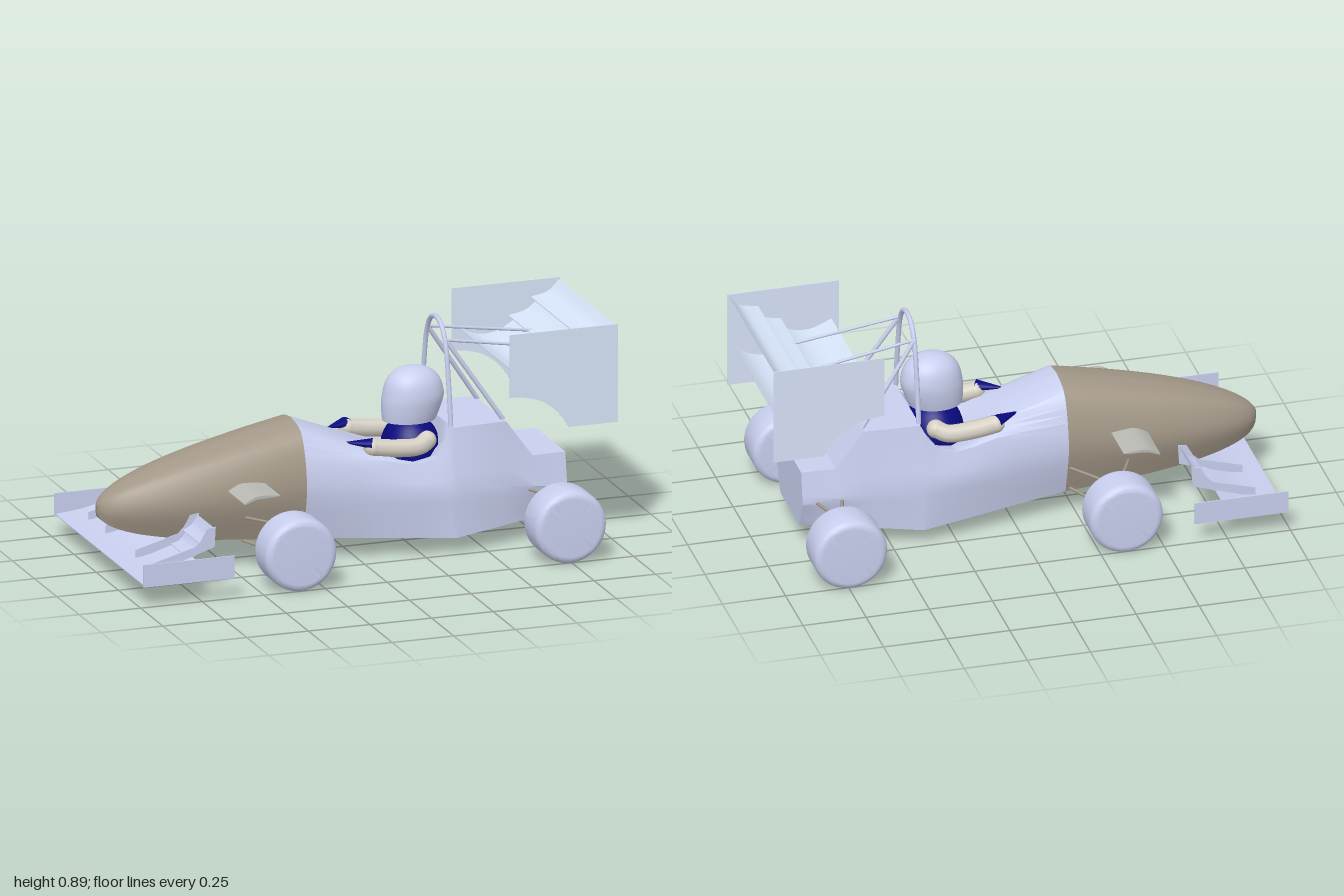
import * as THREE from 'three';
import { toCreasedNormals } from 'three/addons/utils/BufferGeometryUtils.js';

const mat = (color) => new THREE.MeshStandardMaterial({ color, side: THREE.DoubleSide });
const V3 = (x, y, z) => new THREE.Vector3(x, y, z);
const V2 = (p) => new THREE.Vector2(p[0], p[1]);
const { lerp, smoothstep } = THREE.MathUtils;

export function createModel() {
  const car = new THREE.Group();
  car.name = 'raceCar';
  const paint = mat(0xc8cfee), tan = mat(0xa39888), wing = mat(0xd6e3f8);
  const blue = mat(0x0a0a80), sleeve = mat(0xd6d0c4), grey = mat(0xb9b9b4);

  const add = (name, geometry, material) => {
    const mesh = new THREE.Mesh(geometry, material);
    mesh.name = name;
    car.add(mesh);
    return mesh;
  };

  // Half section [z, y] points -> closed ring; round blends straight to curved
  const ring = ({ x, round, pts }) => {
    const p = pts.map(V2), spline = new THREE.SplineCurve(p);
    const half = [new THREE.Vector2(0, p[0].y)];
    const per = 4, n = (p.length - 1) * per;
    for (let i = 0; i <= n; i++) {
      const s = Math.min(Math.floor(i / per), p.length - 2);
      const straight = p[s].clone().lerp(p[s + 1], i / per - s);
      half.push(straight.lerp(spline.getPoint(i / n), round));
    }
    const right = half.slice(1, -1).reverse().map((v) => new THREE.Vector2(-v.x, v.y));
    return [...half, ...right].map((v) => V3(x, v.y, v.x));
  };

  // Skin over sections running along x, with a flat cap on the last
  const loft = (sections, crease) => {
    const rings = sections.map(ring), n = rings[0].length, pos = [];
    const tri = (...v) => v.forEach((p) => pos.push(p.x, p.y, p.z));
    for (let i = 0; i < rings.length - 1; i++) {
      for (let j = 0; j < n; j++) {
        const k = (j + 1) % n, A = rings[i], B = rings[i + 1];
        tri(A[j], B[j], A[k]);
        tri(B[j], B[k], A[k]);
      }
    }
    const last = rings[rings.length - 1];
    const mid = V3(last[0].x, 0.22, 0);
    last.forEach((p, j) => tri(mid, last[(j + 1) % n], p));
    const g = new THREE.BufferGeometry();
    g.setAttribute('position', new THREE.Float32BufferAttribute(pos, 3));
    return toCreasedNormals(g, crease);
  };

  // Nose cone
  const nose = [];
  for (let i = 0; i <= 20; i++) {
    const t = Math.max((i / 20) ** 2, 0.0002);
    const w = 0.18 * Math.sqrt(1 - (1 - t) ** 2.5);
    const top = 0.265 + 0.275 * t ** 0.58, yb = 0.265 - 0.17 * t ** 0.3, h = top - yb;
    nose.push({ x: -1 + 0.79 * t, round: 1, pts: [[0.74 * w, yb], [w, yb + 0.4 * h],
      [0.93 * w, yb + 0.7 * h], [0.62 * w, yb + 0.94 * h], [0, top]] });
  }
  add('noseCone', loft(nose, 0.6), tan);

  // Lower body edges: flare from the nose to the widest point, then taper to the tail
  const lower = (x) => {
    const f = (x + 0.21) / 0.59, r = (x - 0.38) / 0.46;
    if (x < 0.38) {
      return [[lerp(0.133, 0.245, f), lerp(0.095, 0.067, f)],
        [lerp(0.18, 0.245, smoothstep(f, 0, 1)), lerp(0.273, 0.26, f)]];
    }
    return [[lerp(0.245, 0.135, r), lerp(0.067, 0.1, r)],
      [lerp(0.245, 0.185, Math.sqrt(r)), lerp(0.26, 0.21, r)]];
  };
  // Upper body: x, roundness, shoulder z y, inner rim z y, centre y
  const upper = [
    [-0.21, 1, 0.167, 0.406, 0.112, 0.513, 0.54],
    [0, 0.8, 0.176, 0.395, 0.112, 0.442, 0.45],
    [0.07, 0.6, 0.182, 0.39, 0.125, 0.416, 0.42],
    [0.12, 0.4, 0.19, 0.383, 0.15, 0.4, 0.385],
    [0.17, 0.3, 0.197, 0.372, 0.165, 0.378, 0.34],
    [0.24, 0.2, 0.203, 0.365, 0.17, 0.362, 0.32],
    [0.31, 0.1, 0.203, 0.385, 0.17, 0.38, 0.32],
    [0.355, 0, 0.198, 0.44, 0.16, 0.44, 0.34],
    [0.38, 0, 0.19, 0.49, 0.1, 0.49, 0.49],
    [0.6, 0, 0.178, 0.49, 0.09, 0.49, 0.49],
    [0.71, 0, 0.168, 0.34, 0.085, 0.34, 0.34],
    [0.845, 0, 0.163, 0.34, 0.08, 0.34, 0.34],
  ];
  add('body', loft(upper.map(([x, round, wt, yt, wi, yi, yc]) => (
    { x, round, pts: [...lower(x), [wt, yt], [wi, yi], [0, yc]] })), 0.4), paint);

  // Flat plate in the xy plane, extruded from z0 to z1
  const plate = (name, shape, z0, z1, material) => {
    const g = new THREE.ExtrudeGeometry(shape, { depth: z1 - z0, bevelEnabled: false, curveSegments: 12 });
    return add(name, toCreasedNormals(g.translate(0, 0, z0), 0.5), material);
  };
  const outline = (...pts) => new THREE.Shape(pts.map(V2));
  // Thin cambered wing element following a curve in the xy plane
  const foil = (name, path, z0, z1, material, thick = 0.012) => {
    const c = new THREE.SplineCurve(path.map(V2)).getPoints(12);
    const under = c.map((p, i) => new THREE.Vector2(p.x, p.y - thick * Math.sin(Math.PI * (0.1 + 0.85 * i / 12))));
    plate(name, new THREE.Shape([...under, ...c.reverse()]), z0, z1, material);
  };
  const rod = (name, points, r, material) => add(name, new THREE.TubeGeometry(
    new THREE.CatmullRomCurve3(points), points.length > 2 ? 40 : 1, r, 8), material);

  // Wheel with rounded shoulders, axle along z
  const tyre = (half) => {
    const pts = [[0, -half], [0.114, -half]];
    for (let i = 0; i <= 6; i++) {
      const a = i / 6 * Math.PI / 2;
      pts.push([0.115 + 0.03 * Math.sin(a), -half + 0.03 * (1 - Math.cos(a))]);
    }
    const back = pts.map(([r, y]) => [r, -y]).reverse();
    const g = new THREE.LatheGeometry([...pts, ...back].map(V2), 48).rotateX(Math.PI / 2);
    return toCreasedNormals(g.toNonIndexed(), 0.5);
  };

  // Full-width front wing and rear wing elements
  foil('frontWing', [[-0.985, 0.09], [-0.86, 0.105], [-0.74, 0.14]], -0.5, 0.5, paint);
  foil('rearWingMain', [[0.59, 0.72], [0.67, 0.688], [0.75, 0.695], [0.83, 0.742]], -0.327, 0.327, wing);
  foil('rearWingMiddleFlap', [[0.79, 0.75], [0.86, 0.765], [0.91, 0.803]], -0.327, 0.327, wing);
  foil('rearWingTopFlap', [[0.88, 0.815], [0.95, 0.83], [0.995, 0.873]], -0.327, 0.327, wing);
  foil('rearWingLower', [[0.76, 0.615], [0.85, 0.602], [0.92, 0.618], [0.975, 0.655]], -0.327, 0.327, wing);

  const rearPlate = outline([0.56, 0.63], [0.56, 0.88], [1, 0.88], [1, 0.49], [0.8, 0.49]);
  rearPlate.bezierCurveTo(0.75, 0.58, 0.68, 0.63, 0.56, 0.63);
  const frontPlate = outline([-0.99, 0.083], [-0.62, 0.083], [-0.62, 0.173], [-0.99, 0.173]);
  const innerPlate = outline([-0.9, 0.09], [-0.65, 0.17], [-0.645, 0.25], [-0.68, 0.245],
    [-0.705, 0.2], [-0.73, 0.177], [-0.9, 0.13]);

  for (const s of [1, -1]) {
    const side = s > 0 ? 'left' : 'right';
    const span = (a, b) => (s > 0 ? [a, b] : [-b, -a]);

    // Wheels and wishbones, front then rear
    for (const [end, x, z, half, legs] of [['Front', -0.35, 0.443, 0.079, [-0.1, 0.13]],
      ['Rear', 0.743, 0.443, 0.082, [-0.06, 0.05]]]) {
      add(side + end + 'Wheel', tyre(half), paint).position.set(x, 0.147, s * z);
      for (const dx of legs) {
        rod(side + end + 'UpperWishbone', [V3(x, 0.225, s * 0.38), V3(x + dx, 0.21, s * 0.165)], 0.006, tan);
        rod(side + end + 'LowerWishbone', [V3(x, 0.105, s * 0.38), V3(x + dx, 0.108, s * 0.12)], 0.006, tan);
      }
    }

    // Front wing flaps and plates
    plate(side + 'FrontEndPlate', frontPlate, ...span(0.499, 0.504), paint);
    for (const z of [0.17, 0.36]) plate(side + 'FrontInnerPlate', innerPlate, ...span(z - 0.002, z + 0.002), paint);
    foil(side + 'FrontLowerFlap', [[-0.76, 0.14], [-0.72, 0.155], [-0.69, 0.195]], ...span(0.17, 0.36), paint, 0.008);
    foil(side + 'FrontUpperFlap', [[-0.71, 0.19], [-0.675, 0.21], [-0.65, 0.245]], ...span(0.17, 0.36), paint, 0.008);

    // Winglets beside the nose
    foil(side + 'Winglet', [[-0.525, 0.325], [-0.47, 0.35], [-0.38, 0.345]], ...span(0.12, 0.352), grey);

    // Rear wing end plates, stays and hoop braces
    plate(side + 'RearEndPlate', rearPlate, ...span(0.326, 0.329), wing);
    rod(side + 'WingStay', [V3(0.38, 0.815, s * 0.1), V3(0.83, 0.745, s * 0.115)], 0.006, paint);
    rod(side + 'HoopBrace', [V3(0.385, 0.81, s * 0.105), V3(0.6, 0.488, s * 0.145)], 0.009, paint);

    // Driver's arms: sleeve with rounded ends, flat pointed glove
    const arm = [V3(0.07, 0.43, s * 0.142), V3(0.16, 0.418, s * 0.145),
      V3(0.26, 0.415, s * 0.14), V3(0.3, 0.43, s * 0.12)];
    rod(side + 'Arm', arm, 0.036, sleeve);
    for (const p of [arm[0], arm[3]]) {
      add(side + 'SleeveEnd', new THREE.SphereGeometry(0.036, 16, 10), sleeve).position.copy(p);
    }
    const cone = new THREE.ConeGeometry(0.033, 0.12, 20).rotateZ(Math.PI / 2).scale(1, 0.6, 1);
    const glove = add(side + 'Glove', cone, blue);
    glove.position.set(0.015, 0.448, s * 0.122);
    glove.rotation.y = -s * 0.46;
  }

  // Roll hoop
  const arch = [[0.165, 0.485], [0.14, 0.65], [0.105, 0.8], [0.06, 0.862]];
  rod('rollHoop', [...arch.map(([z, y]) => V3(0.38, y, z)), V3(0.38, 0.881, 0),
    ...arch.slice().reverse().map(([z, y]) => V3(0.38, y, -z))], 0.01, paint);

  // Driver's torso
  const torso = add('torso', new THREE.SphereGeometry(1, 32, 20), blue);
  torso.scale.set(0.115, 0.14, 0.13);
  torso.position.set(0.275, 0.365, 0);

  // Helmet, its lower part leaning forward
  const shell = new THREE.SplineCurve([[0.085, 0.485], [0.094, 0.53], [0.098, 0.585], [0.084, 0.645],
    [0.05, 0.683], [0, 0.697]].map(V2)).getPoints(24);
  const helmet = new THREE.LatheGeometry([V2([0, 0.485]), ...shell], 40).scale(1.23, 1, 1);
  const hp = helmet.attributes.position;
  for (let i = 0; i < hp.count; i++) hp.setX(i, hp.getX(i) - 0.17 * Math.max(0, 0.585 - hp.getY(i)));
  add('helmet', toCreasedNormals(helmet.toNonIndexed(), 0.6), paint).position.x = 0.286;

  return car;
}
